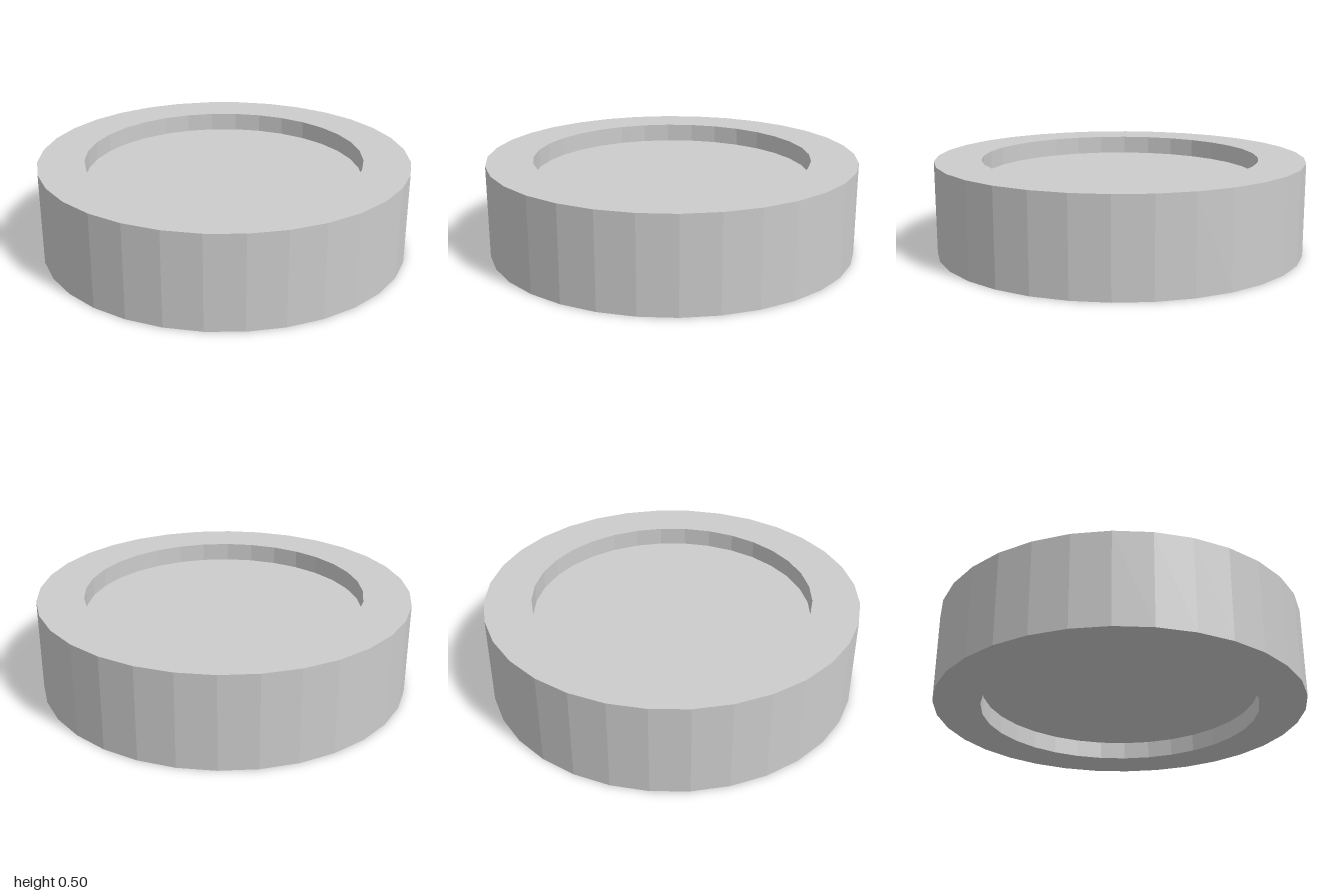
import * as THREE from 'three';

const SIDES = 32;
const OUTER = 1, INNER = 0.75;
const HEIGHT = 0.5, RECESS = 0.1;

export function createModel() {
  const group = new THREE.Group();
  group.name = 'recessedDisc';

  const material = new THREE.MeshStandardMaterial({ color: 0xcccccc, flatShading: true });

  // Half section from the lower panel, round the rim, to the upper panel
  const profile = [
    [0, RECESS], [INNER, RECESS], [INNER, 0], [OUTER, 0],
    [OUTER, HEIGHT], [INNER, HEIGHT], [INNER, HEIGHT - RECESS], [0, HEIGHT - RECESS],
  ].map(([r, y]) => new THREE.Vector2(r, y));

  // Faceted disc with a raised rim on both faces
  const disc = new THREE.Mesh(new THREE.LatheGeometry(profile, SIDES), material);
  disc.name = 'rimmedDisc';
  group.add(disc);

  return group;
}
